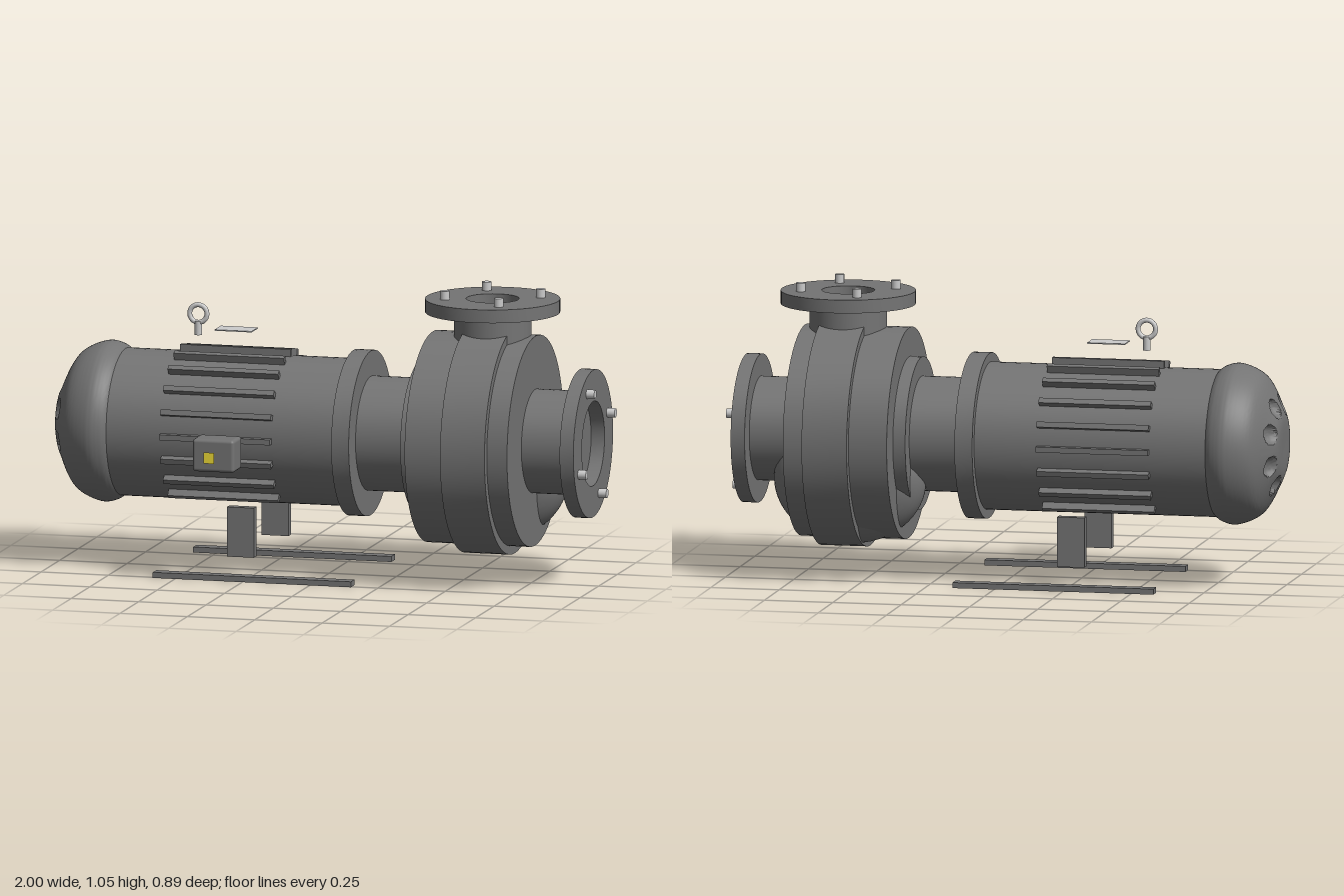
import * as THREE from 'three';
import { toCreasedNormals } from 'three/addons/utils/BufferGeometryUtils.js';
import { RoundedBoxGeometry } from 'three/addons/geometries/RoundedBoxGeometry.js';

const AXIS_Y = 0.51, AXIS_Z = -0.035;

export function createModel() {
  const root = new THREE.Group();
  root.name = 'motorPump';
  const paint = new THREE.MeshStandardMaterial({ color: 0x747474 });
  const steel = new THREE.MeshStandardMaterial({ color: 0xcccccc });
  const yellow = new THREE.MeshStandardMaterial({ color: 0xf0dc38, side: THREE.DoubleSide });

  // Everything in the shaft group turns about its local y axis, laid along +x
  const shaft = new THREE.Group();
  shaft.name = 'shaftParts';
  shaft.position.set(0, AXIS_Y, AXIS_Z);
  shaft.rotation.z = -Math.PI / 2;
  root.add(shaft);

  function add(parent, name, geometry, x = 0, y = 0, z = 0, material = paint) {
    const mesh = new THREE.Mesh(geometry, material);
    mesh.name = name;
    mesh.position.set(x, y, z);
    parent.add(mesh);
    return mesh;
  }
  // Turned part from [radius, height] pairs, listed from low to high outside
  function turned(parent, name, pairs) {
    const pts = pairs.map(([r, h]) => new THREE.Vector2(r, h));
    return add(parent, name, toCreasedNormals(new THREE.LatheGeometry(pts, 64), 0.6));
  }
  function drum(parent, name, r, from, to) {
    return turned(parent, name, [[0, from], [r, from], [r, to], [0, to]]);
  }
  // Flange with a bore and four studs
  function boltedFlange(parent, name, r, bore, from, to, boltCircle, boltLen) {
    const group = new THREE.Group();
    group.name = name;
    parent.add(group);
    turned(group, name + 'Ring', [[bore, from], [r, from], [r, to], [bore, to], [bore, from]]);
    for (let i = 0; i < 4; i++) {
      const a = -Math.PI / 8 + i * Math.PI / 2;
      add(group, name + 'Bolt', new THREE.CylinderGeometry(0.017, 0.017, boltLen + 0.01, 16),
        boltCircle * Math.cos(a), to + boltLen / 2 - 0.005, boltCircle * Math.sin(a), steel);
    }
  }

  // Domed fan cover, with a ring of eight round vents pressed into its end
  const dome = new THREE.SplineCurve([
    [0, -1], [0.1, -0.998], [0.165, -0.972], [0.25, -0.92], [0.288, -0.84], [0.28, -0.785], [0.255, -0.755],
  ].map(([r, h]) => new THREE.Vector2(r, h))).getSpacedPoints(70);
  const cover = new THREE.LatheGeometry(dome, 128);
  const pos = cover.attributes.position;
  for (let i = 0; i < pos.count; i++) {
    const x = pos.getX(i), z = pos.getZ(i);
    for (let k = 0; k < 8; k++) {
      const a = (k + 0.5) * Math.PI / 4;
      const d = Math.hypot(x - 0.15 * Math.cos(a), z - 0.15 * Math.sin(a)) / 0.034;
      if (d < 1) pos.setY(i, pos.getY(i) + 0.03 * Math.sqrt(1 - d * d));
    }
  }
  add(shaft, 'fanCover', toCreasedNormals(cover, 0.6));

  // Motor body and front flange
  drum(shaft, 'motorBody', 0.265, -0.8, 0.09);
  drum(shaft, 'motorFlange', 0.298, 0.08, 0.145);

  // Cooling fins round the body, leaving the underside bare
  for (let i = -8; i <= 8; i++) {
    const a = Math.PI + i * Math.PI / 10;
    const fin = add(shaft, 'coolingFin', new THREE.BoxGeometry(0.04, 0.41, 0.02),
      0.271 * Math.cos(a), -0.355, 0.271 * Math.sin(a));
    fin.rotation.y = -a;
  }

  // Coupling housing and stepped pump casing
  drum(shaft, 'couplingHousing', 0.206, 0.14, 0.34);
  drum(shaft, 'casingBackCover', 0.275, 0.33, 0.38);
  drum(shaft, 'pumpCasing', 0.38, 0.375, 0.755);
  drum(shaft, 'casingBand', 0.411, 0.515, 0.68);
  const bulge = add(root, 'voluteBulge', new THREE.SphereGeometry(1, 48, 32), 0.565, 0.355, -0.152);
  bulge.scale.set(0.277, 0.232, 0.138);

  // Suction pipe along the shaft
  drum(shaft, 'suctionPipe', 0.187, 0.75, 0.92);
  boltedFlange(shaft, 'suctionFlange', 0.267, 0.153, 0.919, 0.97, 0.209, 0.03);

  // Discharge neck on top of the casing
  const discharge = new THREE.Group();
  discharge.name = 'discharge';
  discharge.position.set(0.597, 0, AXIS_Z);
  root.add(discharge);
  drum(discharge, 'dischargeNeck', 0.139, 0.8, 0.975);
  boltedFlange(discharge, 'dischargeFlange', 0.242, 0.095, 0.972, 1.02, 0.173, 0.031);

  // Feet and base rails on both sides
  for (const side of [-1, 1]) {
    add(root, 'foot', new THREE.BoxGeometry(0.1, 0.18, 0.034), -0.27, 0.172, AXIS_Z + side * 0.232);
    add(root, 'baseRail', new THREE.BoxGeometry(0.735, 0.02, 0.047), -0.215, 0.01, AXIS_Z + side * 0.272);
  }

  // Terminal box with its label
  add(root, 'terminalBox', new RoundedBoxGeometry(0.155, 0.118, 0.108, 4, 0.012), -0.323, 0.476, 0.338);
  add(root, 'warningLabel', new THREE.PlaneGeometry(0.04, 0.04), -0.323, 0.478, 0.447, yellow);

  // Plate and lifting eye above the motor
  add(root, 'ratingPlate', new THREE.BoxGeometry(0.138, 0.004, 0.085), -0.356, 0.863, -0.04, steel);
  add(root, 'liftingRing', new THREE.TorusGeometry(0.032, 0.009, 12, 32), -0.495, 0.914, AXIS_Z, steel);
  add(root, 'liftingStem', new THREE.CylinderGeometry(0.013, 0.013, 0.05, 16), -0.495, 0.862, AXIS_Z, steel);

  return root;
}
